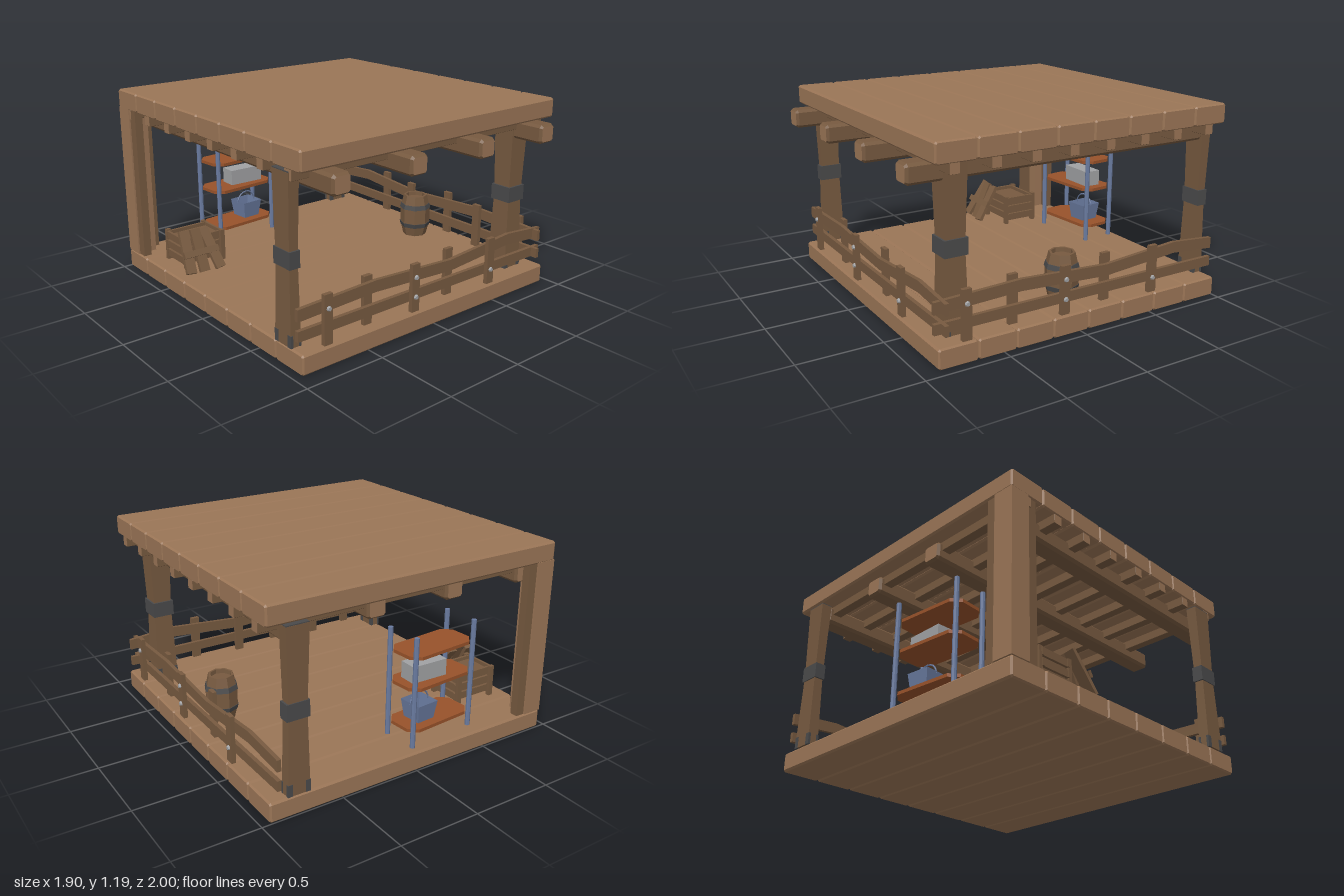
import * as THREE from 'three';

const mat = (name, color) => {
  const m = new THREE.MeshStandardMaterial({ color, flatShading: true });
  m.name = name;
  return m;
};

export function createModel() {
  const root = new THREE.Group();
  const light = mat('light wood', 0x9a7556);
  const dark = mat('dark wood', 0x775a40);
  const iron = mat('dark iron', 0x4a4a4b);
  const steel = mat('steel', 0xa0a1a3);
  const blue = mat('blue metal', 0x6a7ba0);
  const rust = mat('shelf board', 0x98522a);
  steel.side = blue.side = THREE.DoubleSide;

  const add = (parent, name, geo, material, x = 0, y = 0, z = 0) => {
    const m = new THREE.Mesh(geo, material);
    m.name = name;
    m.position.set(x, y, z);
    parent.add(m);
    return m;
  };
  const group = (name, x = 0, y = 0, z = 0) => {
    const g = new THREE.Group();
    g.name = name;
    g.position.set(x, y, z);
    root.add(g);
    return g;
  };
  const box = (parent, name, m, w, h, d, x, y, z) =>
    add(parent, name, new THREE.BoxGeometry(w, h, d), m, x, y, z);

  // Bar along z with all edges chamfered; group 0 is the ends, group 1 the sides
  const bar = (w, h, len, c) => {
    const a = w / 2, b = h / 2;
    const s = new THREE.Shape([
      [-a + c, -b], [a - c, -b], [a, -b + c], [a, b - c],
      [a - c, b], [-a + c, b], [-a, b - c], [-a, -b + c],
    ].map(p => new THREE.Vector2(...p)));
    const g = new THREE.ExtrudeGeometry(s, {
      depth: len - 2 * c, bevelEnabled: true, bevelSegments: 1,
      bevelThickness: c, bevelSize: c * 0.7, bevelOffset: -c * 0.7,
    });
    return g.translate(0, 0, -len / 2 + c);
  };

  // Floor and roof planks, running along x
  const floor = group('floor'), roof = group('roof');
  const pitch = 1.9 / 8;
  const plank = bar(pitch - 0.002, 0.118, 1.9, 0.011).rotateY(Math.PI / 2);
  for (let i = 0; i < 8; i++) {
    const z = -1 + pitch * (i + 0.5);
    add(floor, 'floorPlank', plank, light, 0, 0.059, z);
    add(roof, 'roofPlank', plank, light, 0, 1.134, z);
  }

  // Roof beams and cross rafters with pale end grain
  const beam = bar(0.12, 0.112, 1.94, 0.016);
  for (const x of [-0.775, -0.26, 0.26, 0.775])
    add(roof, 'beam', beam, [light, dark], x, 1.016, 0.03);
  const rafter = bar(0.057, 0.058, 1.89, 0.002).rotateY(Math.PI / 2);
  for (let i = 0; i < 8; i++)
    add(roof, 'rafter', rafter, [light, dark], 0, 1.048, 0.79 - i * 0.2386);

  // Waisted posts with an iron band, foot brackets and a top collar
  const post = (x, z, w, d) => {
    const p = group('post', x, 0, z);
    const g = new THREE.BoxGeometry(w, 0.94, d, 1, 4, 1);
    const pos = g.attributes.position;
    for (let i = 0; i < pos.count; i++) {
      const k = 0.82 + 0.18 * Math.abs(pos.getY(i)) / 0.47;
      pos.setXYZ(i, pos.getX(i) * k, pos.getY(i), pos.getZ(i) * k);
    }
    add(p, 'postBody', g, dark, 0, 0.59, 0);
    box(p, 'band', iron, w, 0.095, d, 0, 0.6, 0);
    box(p, 'collar', iron, w * 0.98, 0.045, d * 0.98, 0, 1.043, 0);
    for (const sx of [-1, 1]) for (const sz of [-1, 1])
      box(p, 'footBracket', iron, w * 0.22, 0.07, d * 0.22,
        sx * w * 0.4, 0.154, sz * d * 0.4);
  };
  post(0.775, 0.73, 0.135, 0.14);
  post(-0.917, 0.73, 0.066, 0.14);
  post(0.775, -0.966, 0.135, 0.066);

  // Square corner post with side boards
  const corner = group('cornerPost');
  box(corner, 'cornerPostBody', light, 0.125, 0.965, 0.125, -0.887, 0.6, -0.937);
  box(corner, 'sideBoard', dark, 0.06, 0.965, 0.05, -0.797, 0.6, -0.965);
  box(corner, 'sideBoard', dark, 0.05, 0.965, 0.062, -0.915, 0.6, -0.843);

  // Fences: crooked top rail, straight lower rail, balusters alternating sides
  const knots = [[-0.95, 0.325], [-0.42, 0.342], [0.15, 0.31], [0.65, 0.35], [0.95, 0.325]];
  const fence = (name, x, z, turn) => {
    const f = group(name, x, 0, z);
    f.rotation.y = turn;
    const g = new THREE.BoxGeometry(1.9, 0.068, 0.024, 4, 1, 1);
    const pos = g.attributes.position;
    for (let i = 0; i < pos.count; i++) {
      const k = knots[Math.round((pos.getX(i) + 0.95) / 0.475)];
      pos.setX(i, k[0]);
      pos.setY(i, pos.getY(i) + k[1]);
    }
    add(f, 'topRail', g, dark);
    box(f, 'lowerRail', dark, 1.9, 0.06, 0.024, 0, 0.208, 0);
    for (let i = 0; i < 5; i++)
      box(f, 'baluster', dark, 0.056, 0.287, 0.026,
        -0.77 + i * 0.31, 0.262, i % 2 ? -0.025 : 0.025);
    const bolt = new THREE.CylinderGeometry(0.011, 0.016, 0.012, 8).rotateX(Math.PI / 2);
    for (const [bx, by] of [[-0.77, 0.325], [-0.15, 0.325], [-0.15, 0.208], [0.47, 0.208]])
      add(f, 'bolt', bolt, steel, bx, by, 0.043);
  };
  fence('frontFence', 0, 0.848, 0);
  fence('sideFence', 0.893, -0.05, Math.PI / 2);

  // Barrel with a sunken lid and two hoops
  const barrel = group('barrel', 0.72, 0.12, -0.02);
  const profile = [[0, 0], [0.078, 0], [0.1, 0.09], [0.1, 0.19], [0.078, 0.28],
    [0.064, 0.28], [0.062, 0.255], [0, 0.255]].map(p => new THREE.Vector2(...p));
  add(barrel, 'staves', new THREE.LatheGeometry(profile, 8), dark);
  add(barrel, 'upperHoop', new THREE.CylinderGeometry(0.096, 0.104, 0.03, 8), iron, 0, 0.205, 0);
  add(barrel, 'lowerHoop', new THREE.CylinderGeometry(0.104, 0.096, 0.03, 8), iron, 0, 0.075, 0);

  // Shelf rack
  const rack = group('shelfRack', -0.218, 0, -0.82);
  rack.rotation.y = 0.085;
  const pole = new THREE.CylinderGeometry(0.015, 0.015, 0.67, 8);
  for (const sx of [-1, 1]) for (const sz of [-1, 1])
    add(rack, 'pole', pole, blue, sx * 0.222, 0.455, sz * 0.105);
  const c = 0.05, sw = 0.232, sd = 0.115;
  const boardShape = new THREE.Shape([
    [-sw + c, -sd], [sw - c, -sd], [sw, -sd + c], [sw, sd - c],
    [sw - c, sd], [-sw + c, sd], [-sw, sd - c], [-sw, -sd + c],
  ].map(p => new THREE.Vector2(...p)));
  const board = new THREE.ExtrudeGeometry(boardShape, { depth: 0.02, bevelEnabled: false })
    .rotateX(-Math.PI / 2);
  for (const y of [0.205, 0.46, 0.65]) add(rack, 'shelf', board, rust, 0, y, 0);

  // Steel box on the middle shelf
  const tin = box(rack, 'steelBox', steel, 0.235, 0.1, 0.11, 0.055, 0.53, 0);
  tin.rotation.y = -0.1;

  // Open bucket with a handle on the bottom shelf
  const pail = new THREE.CylinderGeometry(0.105, 0.085, 0.11, 4, 1, true).rotateY(Math.PI / 4);
  add(rack, 'bucket', pail, blue, 0.08, 0.282, 0);
  box(rack, 'bucketBase', blue, 0.118, 0.006, 0.118, 0.08, 0.23, 0);
  add(rack, 'bucketHandle', new THREE.TorusGeometry(0.07, 0.005, 5, 10, Math.PI), blue,
    0.08, 0.325, 0);

  // Hanging lamp
  const lamp = group('lamp', 0, 0, -0.045);
  add(lamp, 'shade', new THREE.CylinderGeometry(0.015, 0.115, 0.06, 12, 1, true), steel, 0, 0.95, 0);
  add(lamp, 'cord', new THREE.CylinderGeometry(0.006, 0.006, 0.11, 6), iron, 0, 1.03, 0);
  add(lamp, 'bulb', new THREE.SphereGeometry(0.024, 8, 6), rust, 0, 0.922, 0);

  // Slatted crate
  const crate = group('crate', -0.7, 0.12, -0.57);
  box(crate, 'crateCore', dark, 0.26, 0.15, 0.18, 0, 0.095, 0);
  for (const s of [-1, 1]) {
    for (const y of [0.05, 0.11, 0.17]) {
      box(crate, 'slat', dark, 0.3, 0.045, 0.016, 0, y, s * 0.098);
      box(crate, 'slat', dark, 0.016, 0.045, 0.2, s * 0.138, y, 0);
    }
    for (const t of [-1, 1])
      box(crate, 'crateLeg', dark, 0.03, 0.2, 0.025, s * 0.13, 0.1, t * 0.112);
  }

  // Loose boards leaning on the crate
  const loose = group('leaningBoards', -0.78, 0.12, -0.39);
  [[-0.08, 0.55], [0, 0.42], [0.08, 0.6]].forEach(([x, tilt], i) => {
    const b = box(loose, 'leaningBoard', dark, 0.065, 0.27, 0.024, x, 0.135, 0.01 * i);
    b.rotation.set(-tilt, 0, (i - 1) * 0.12);
  });
  const brace = box(loose, 'brace', dark, 0.24, 0.04, 0.024, 0, 0.13, 0.03);
  brace.rotation.x = -0.5;

  return root;
}
